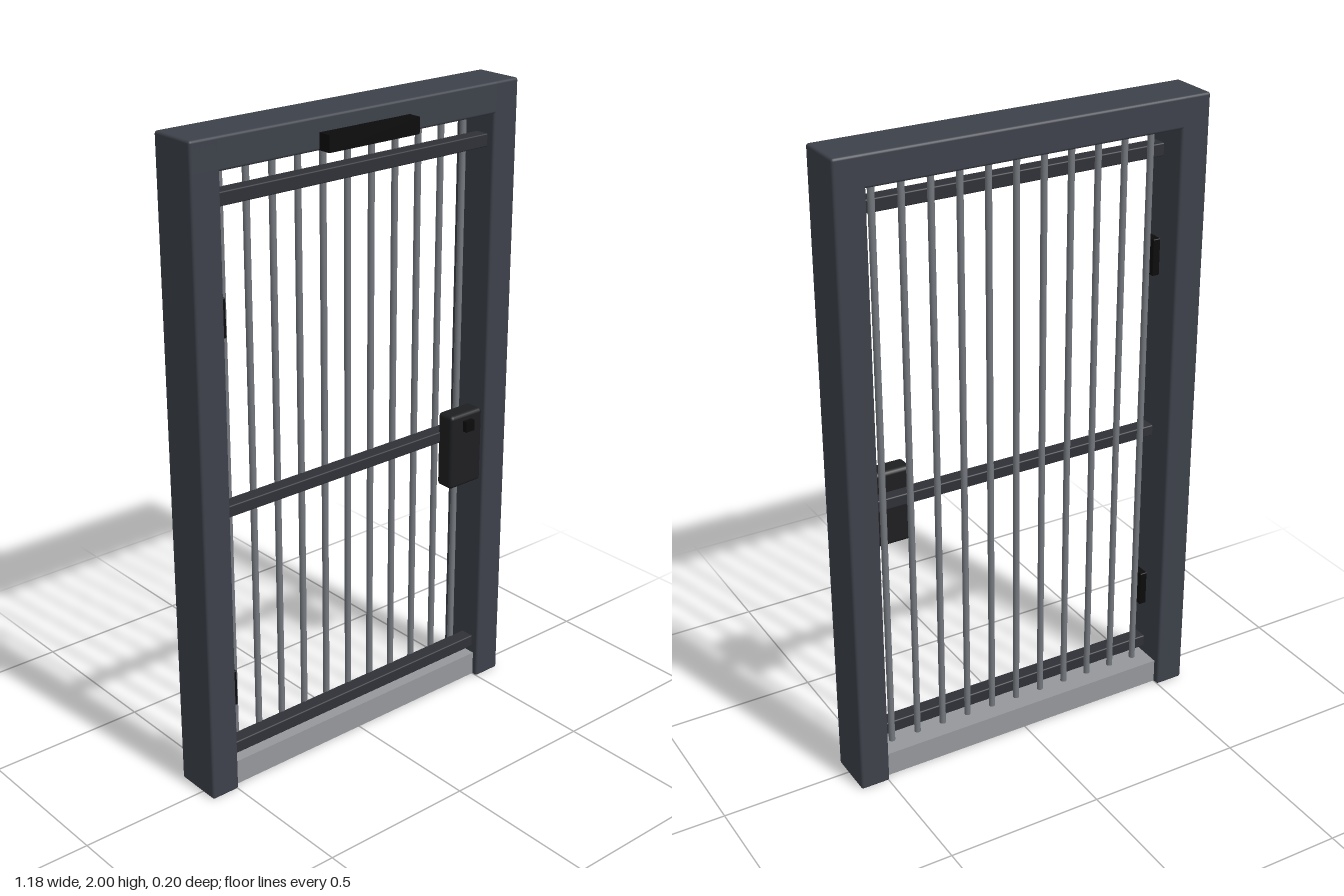
import * as THREE from 'three';
import { RoundedBoxGeometry } from 'three/addons/geometries/RoundedBoxGeometry.js';

const paint = (color) => new THREE.MeshStandardMaterial({ color });

export function createModel() {
  const group = new THREE.Group();
  const frameMat = paint(0x3d414a);
  const railMat = paint(0x2f3137);
  const barMat = paint(0x74787e);
  const sillMat = paint(0x95989c);
  const lockMat = paint(0x1e1f21);
  const blackMat = paint(0x0c0c0d);

  // Box given by its min and max corners, with an optional edge radius
  function box(name, material, [x0, y0, z0], [x1, y1, z1], radius = 0) {
    const size = [x1 - x0, y1 - y0, z1 - z0];
    const geometry = radius
      ? new RoundedBoxGeometry(...size, 2, radius)
      : new THREE.BoxGeometry(...size);
    const mesh = new THREE.Mesh(geometry, material);
    mesh.name = name;
    mesh.position.set((x0 + x1) / 2, (y0 + y1) / 2, (z0 + z1) / 2);
    group.add(mesh);
  }

  // Outer frame: two posts and the header
  box('leftPost', frameMat, [0.497, 0, -0.1], [0.592, 2, 0.058], 0.008);
  box('rightPost', frameMat, [-0.592, 0, -0.1], [-0.497, 2, 0.058], 0.008);
  box('header', frameMat, [-0.592, 1.905, -0.1], [0.592, 2, 0.058], 0.008);

  // Threshold between the posts
  box('sill', sillMat, [-0.5, 0.004, -0.08], [0.5, 0.083, 0.04]);

  // Horizontal rails in front of the bars
  for (const [name, y, h] of [['bottomRail', 0.125, 0.04], ['middleRail', 0.912, 0.036], ['topRail', 1.823, 0.04]]) {
    box(name, railMat, [-0.5, y - h / 2, -0.015], [0.5, y + h / 2, 0.032], 0.004);
  }

  // Vertical round bars
  const barGeometry = new THREE.CylinderGeometry(0.01, 0.01, 1.815, 16);
  for (let i = 0; i < 11; i++) {
    const bar = new THREE.Mesh(barGeometry, barMat);
    bar.name = 'bar' + (i + 1);
    bar.position.set((i - 5) * 0.0893, 0.9875, -0.02);
    group.add(bar);
  }

  // Hinges on the right post
  for (const [name, y] of [['lowerHinge', 0.333], ['upperHinge', 1.492]]) {
    box(name, blackMat, [-0.505, y - 0.058, -0.015], [-0.474, y + 0.058, 0.033], 0.003);
  }

  // Lock case with its button
  box('lockCase', lockMat, [0.33, 0.75, 0.022], [0.46, 0.995, 0.085], 0.012);
  box('lockButton', blackMat, [0.378, 0.937, 0.07], [0.412, 0.972, 0.1]);

  // Closer on the header
  box('doorCloser', blackMat, [-0.165, 1.907, 0.05], [0.163, 1.956, 0.1]);

  return group;
}
